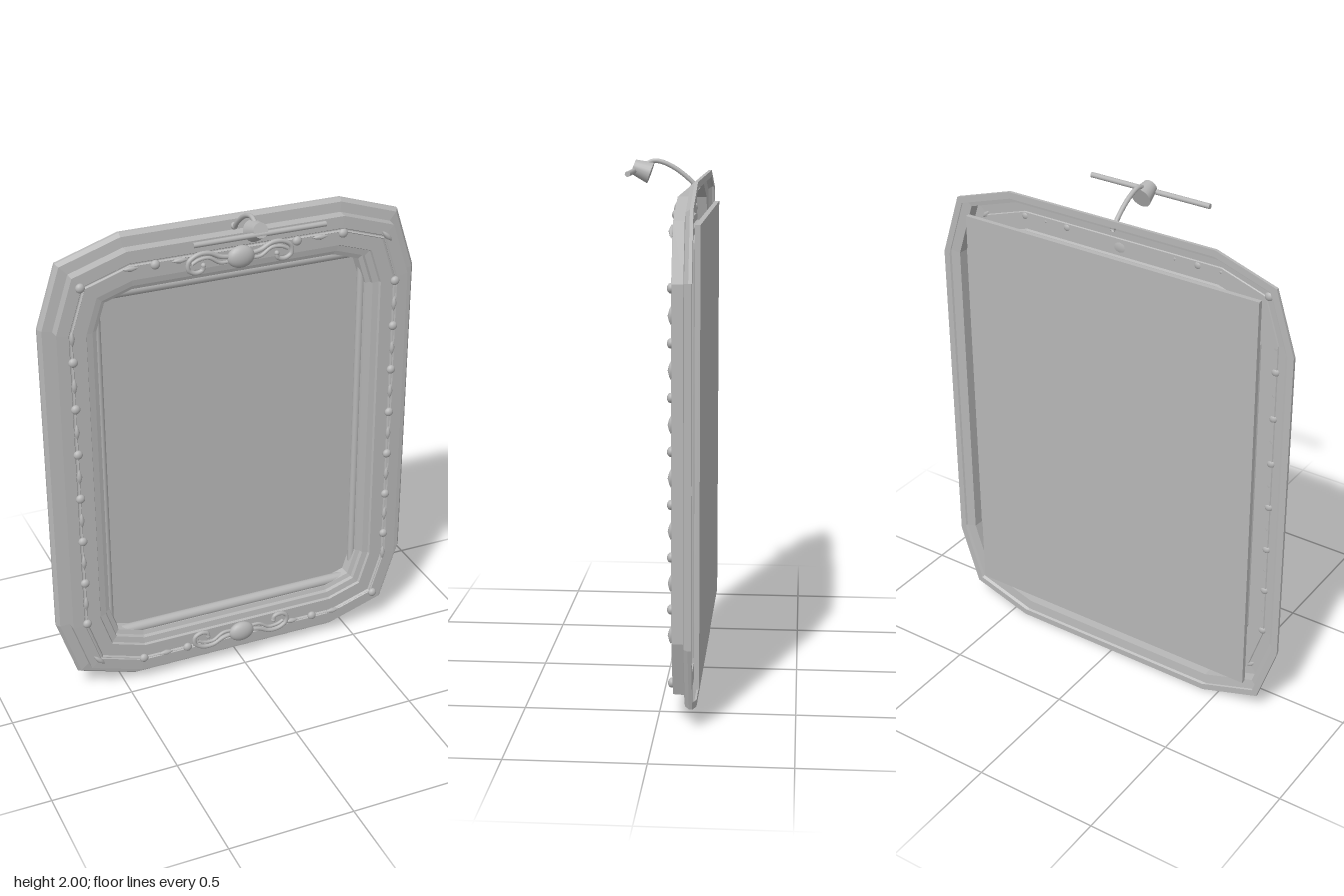
import * as THREE from 'three';

const CY = 0.97; // height of the frame centre

// Twelve-sided outline, moved inwards by d (counter-clockwise from the front)
function outline(d) {
  const a = d * Math.tan(Math.PI / 20), c = d / Math.cos(Math.PI * 0.15) * Math.SQRT1_2;
  const q = [[0.762 - d, 0.644 - a], [0.683 - c, 0.887 - c], [0.44 - a, 0.966 - d]];
  const flip = (sx, sy) => q.map(([x, y]) => [x * sx, y * sy]);
  return [...flip(1, 1), ...flip(-1, 1).reverse(), ...flip(-1, -1), ...flip(1, -1).reverse()];
}

// Moulding swept round the outline from [inset, z] profile points
function moulding(profile) {
  const pos = [];
  const rings = profile.map(([d, z]) => outline(d).map(([x, y]) => [x, y + CY, z]));
  for (let i = 0; i < rings.length - 1; i++) {
    for (let j = 0; j < 12; j++) {
      const k = (j + 1) % 12;
      const a = rings[i][j], b = rings[i][k], c = rings[i + 1][k], e = rings[i + 1][j];
      pos.push(...a, ...b, ...c, ...a, ...c, ...e);
    }
  }
  const g = new THREE.BufferGeometry();
  g.setAttribute('position', new THREE.Float32BufferAttribute(pos, 3));
  g.computeVertexNormals();
  return g;
}

export function createModel() {
  const model = new THREE.Group();
  model.name = 'framedMirror';
  const grey = new THREE.MeshStandardMaterial({ color: 0xb6b6b6, side: THREE.DoubleSide });
  grey.name = 'plainGrey';

  function add(name, geometry, x = 0, y = 0, z = 0, parent = model) {
    const m = new THREE.Mesh(geometry, grey);
    m.name = name;
    m.position.set(x, y, z);
    parent.add(m);
    return m;
  }

  // Stepped frame, hollow at the back
  add('frame', moulding([
    [0.025, -0.132], [0, -0.132], [0, -0.12], [0.012, -0.105], [0.05, -0.1],
    [0.052, -0.06], [0.098, -0.058], [0.101, -0.062], [0.166, -0.062],
    [0.17, -0.072], [0.194, -0.076], [0.198, -0.09], [0.215, -0.096], [0.222, -0.134],
  ]));
  add('beadString', moulding([[0.105, -0.062], [0.109, -0.054], [0.113, -0.062]]));

  // Mirror panel
  add('panel', new THREE.BoxGeometry(1.26, 1.662, 0.019), 0, CY, -0.1435);

  // Round bars lining the opening
  for (const s of [-1, 1]) {
    const bar = add('linerBar', new THREE.CylinderGeometry(0.022, 0.022, 1.09, 16), 0, CY + s * 0.741, -0.118);
    bar.rotation.z = Math.PI / 2;
    add('linerPost', new THREE.CylinderGeometry(0.015, 0.015, 1.48, 16), s * 0.538, CY, -0.12);
  }

  // Alternating round beads and spindles
  const ball = new THREE.SphereGeometry(0.018, 14, 10);
  const spindle = new THREE.LatheGeometry(
    [[0, -0.032], [0.006, -0.02], [0.011, 0], [0.006, 0.02], [0, 0.032]].map(p => new THREE.Vector2(...p)), 10);
  function bead(round, x, y, angle = 0) {
    const m = add(round ? 'roundBead' : 'spindleBead', round ? ball : spindle, x, y, -0.053);
    m.rotation.z = angle;
    if (round) m.scale.z = 0.75;
  }
  for (let i = 0; i < 14; i++) {
    const y = 1.587 - i * 0.0953;
    bead(i % 2 === 1, -0.654, y);
    bead(i % 2 === 0, 0.652, y);
  }
  for (let i = 0; i < 3; i++) {
    const x = 0.233 + i * 0.095, odd = i % 2 === 1;
    bead(odd, -x, 1.82, Math.PI / 2);
    bead(!odd, x, 1.82, Math.PI / 2);
    bead(!odd, -x, 0.116, Math.PI / 2);
    bead(odd, x, 0.116, Math.PI / 2);
  }
  bead(true, -0.614, 1.778);
  bead(false, 0.61, 1.778, Math.PI / 4);
  bead(false, -0.612, 0.16, Math.PI / 4);
  bead(true, 0.612, 0.157);

  // Scrolled ornaments at top and bottom
  const scrollPath = [[0.03, 0.004], [0.08, 0.012], [0.125, 0.033], [0.17, 0.032], [0.203, 0.01],
    [0.204, -0.022], [0.178, -0.037], [0.15, -0.03], [0.146, -0.012]];
  const lowerPath = [[0.03, -0.012], [0.08, -0.012], [0.125, 0.014], [0.165, 0.012], [0.19, 0]];
  for (const [y, s] of [[1.802, 1], [0.138, -1]]) {
    const ornament = new THREE.Group();
    ornament.name = 'ornament';
    ornament.position.set(0, y, -0.043);
    model.add(ornament);
    add('boss', new THREE.SphereGeometry(1, 20, 14), 0, 0, 0.004, ornament).scale.set(0.054, 0.043, 0.026);
    for (const side of [-1, 1]) {
      for (const [path, r] of [[scrollPath, 0.009], [lowerPath, 0.007]]) {
        const curve = new THREE.CatmullRomCurve3(path.map(([px, py]) => new THREE.Vector3(px * side, py * s, 0)));
        add('scroll', new THREE.TubeGeometry(curve, 40, r, 8), 0, 0, 0, ornament);
      }
      add('scrollTip', new THREE.SphereGeometry(0.01, 10, 8), 0.146 * side, -0.012 * s, 0, ornament);
    }
  }

  // Picture lamp: curved arm, shade and crossbar
  const arm = new THREE.CatmullRomCurve3([[1.885, -0.108], [1.925, -0.07], [1.963, -0.02], [1.985, 0.025], [1.991, 0.06], [1.975, 0.1]]
    .map(([y, z]) => new THREE.Vector3(0, y, z)));
  add('lampArm', new THREE.TubeGeometry(arm, 32, 0.009, 10));
  add('lampMount', new THREE.SphereGeometry(0.014, 12, 8), 0, 1.9, -0.1);
  const shade = add('lampShade', new THREE.CylinderGeometry(0.028, 0.041, 0.068, 20), 0, 1.957, 0.106);
  shade.rotation.x = Math.PI / 2 - 0.35;
  const bar = add('lampCrossbar', new THREE.CylinderGeometry(0.01, 0.01, 0.512, 12), 0, 1.953, 0.135);
  bar.rotation.z = Math.PI / 2;

  return model;
}
